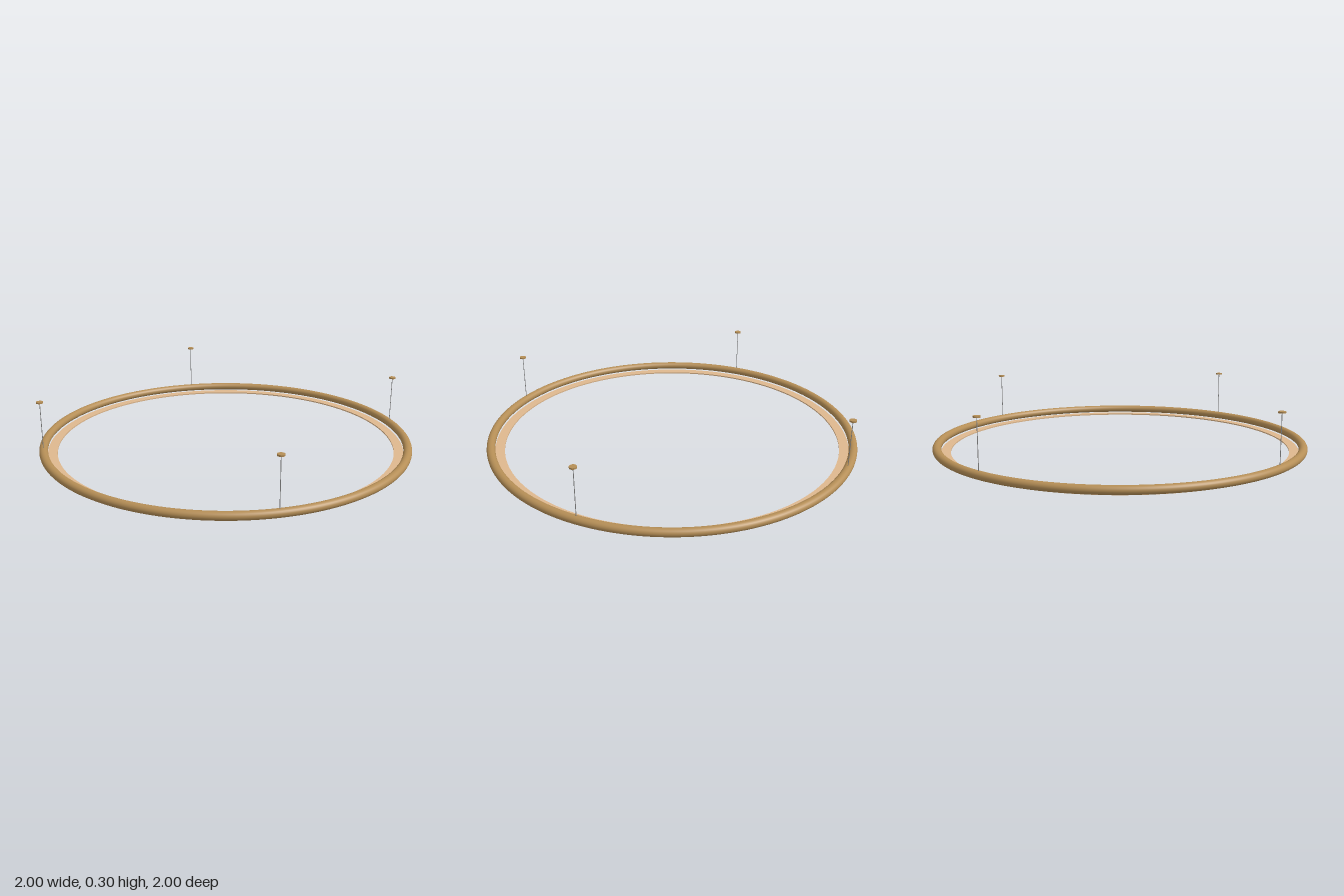
import * as THREE from 'three';

const RING_RADIUS = 0.977;

export function createModel() {
  const model = new THREE.Group();
  model.name = 'ringPendantLamp';
  const brass = new THREE.MeshStandardMaterial({ color: 0xb58e56 });
  const cream = new THREE.MeshStandardMaterial({ color: 0xdeb88e });
  const grey = new THREE.MeshStandardMaterial({ color: 0x888888 });

  const add = (parent, name, geometry, material, y) => {
    const mesh = new THREE.Mesh(geometry, material);
    mesh.name = name;
    mesh.position.y = y;
    parent.add(mesh);
    return mesh;
  };

  // Rounded brass hoop, slightly flatter than wide
  const hoop = new THREE.TorusGeometry(RING_RADIUS, 0.0225, 24, 160);
  hoop.rotateX(Math.PI / 2);
  hoop.scale(1, 0.93, 1);
  add(model, 'hoop', hoop, brass, 0.029);

  // Flat light diffuser lying inside the hoop's lower edge
  const disc = new THREE.Shape().absarc(0, 0, 0.957, 0, Math.PI * 2, false);
  disc.holes.push(new THREE.Path().absarc(0, 0, 0.907, 0, Math.PI * 2, true));
  const diffuser = new THREE.ExtrudeGeometry(disc, { depth: 0.007, bevelEnabled: false, curveSegments: 160 });
  diffuser.rotateX(-Math.PI / 2);
  add(model, 'diffuser', diffuser, cream, 0);

  // Four suspension cables, each with a small ceiling cap
  const cable = new THREE.CylinderGeometry(0.0018, 0.0018, 0.253, 8);
  const cap = new THREE.CylinderGeometry(0.018, 0.018, 0.008, 24);
  for (let i = 0; i < 4; i++) {
    const angle = Math.PI / 4 + i * Math.PI / 2;
    const suspension = new THREE.Group();
    suspension.name = 'suspension';
    suspension.position.set(Math.cos(angle) * RING_RADIUS, 0, Math.sin(angle) * RING_RADIUS);
    add(suspension, 'cable', cable, grey, 0.1705);
    add(suspension, 'ceilingCap', cap, brass, 0.298);
    model.add(suspension);
  }
  return model;
}
